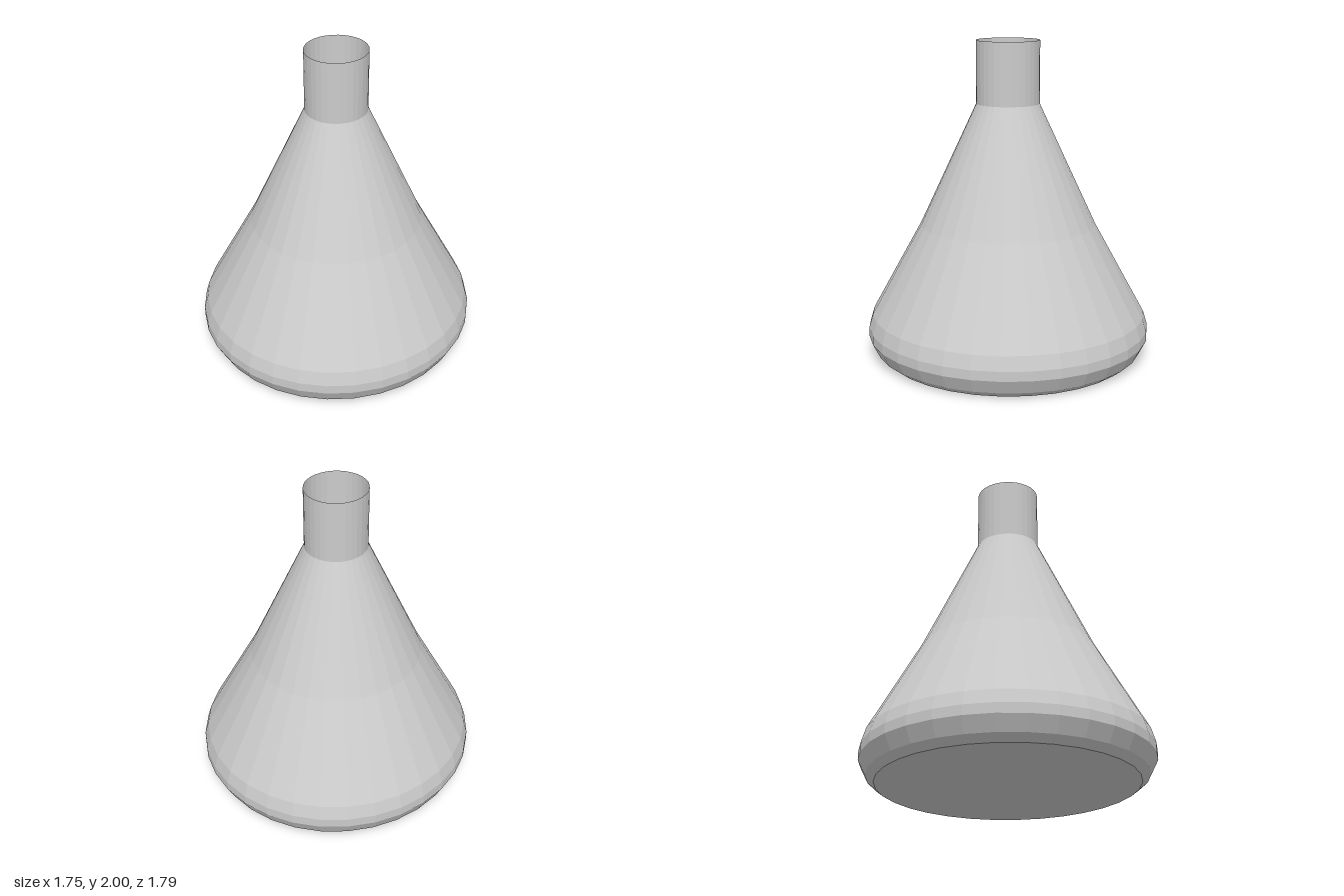
import * as THREE from 'three';

const SIDES = 32;
const DEPTH = 1.024; // the plan is slightly deeper than wide

export function createModel() {
  const flask = new THREE.Group();
  flask.name = 'conicalFlask';
  const glass = new THREE.MeshStandardMaterial({
    color: 0xcccccc,
    flatShading: true,
    side: THREE.DoubleSide,
  });

  // Thin faceted wall turned from [radius, height] pairs
  const turned = (name, profile) => {
    const points = profile.map(([r, y]) => new THREE.Vector2(r, y));
    const geometry = new THREE.LatheGeometry(points, SIDES);
    geometry.scale(1, 1, DEPTH);
    const mesh = new THREE.Mesh(geometry, glass);
    mesh.name = name;
    flask.add(mesh);
  };

  // Rounded foot rising into the tapering cone
  turned('body', [
    [0.78, 0], [0.83, 0.04], [0.875, 0.13], [0.875, 0.19],
    [0.85, 0.275], [0.54, 0.85], [0.193, 1.61],
  ]);

  // Straight neck, open at the top
  turned('neck', [[0.193, 1.61], [0.193, 2]]);

  // Flat floor
  const floorGeometry = new THREE.CircleGeometry(0.78, SIDES);
  floorGeometry.rotateX(Math.PI / 2);
  floorGeometry.scale(1, 1, DEPTH);
  const floor = new THREE.Mesh(floorGeometry, glass);
  floor.name = 'floor';
  flask.add(floor);

  return flask;
}
